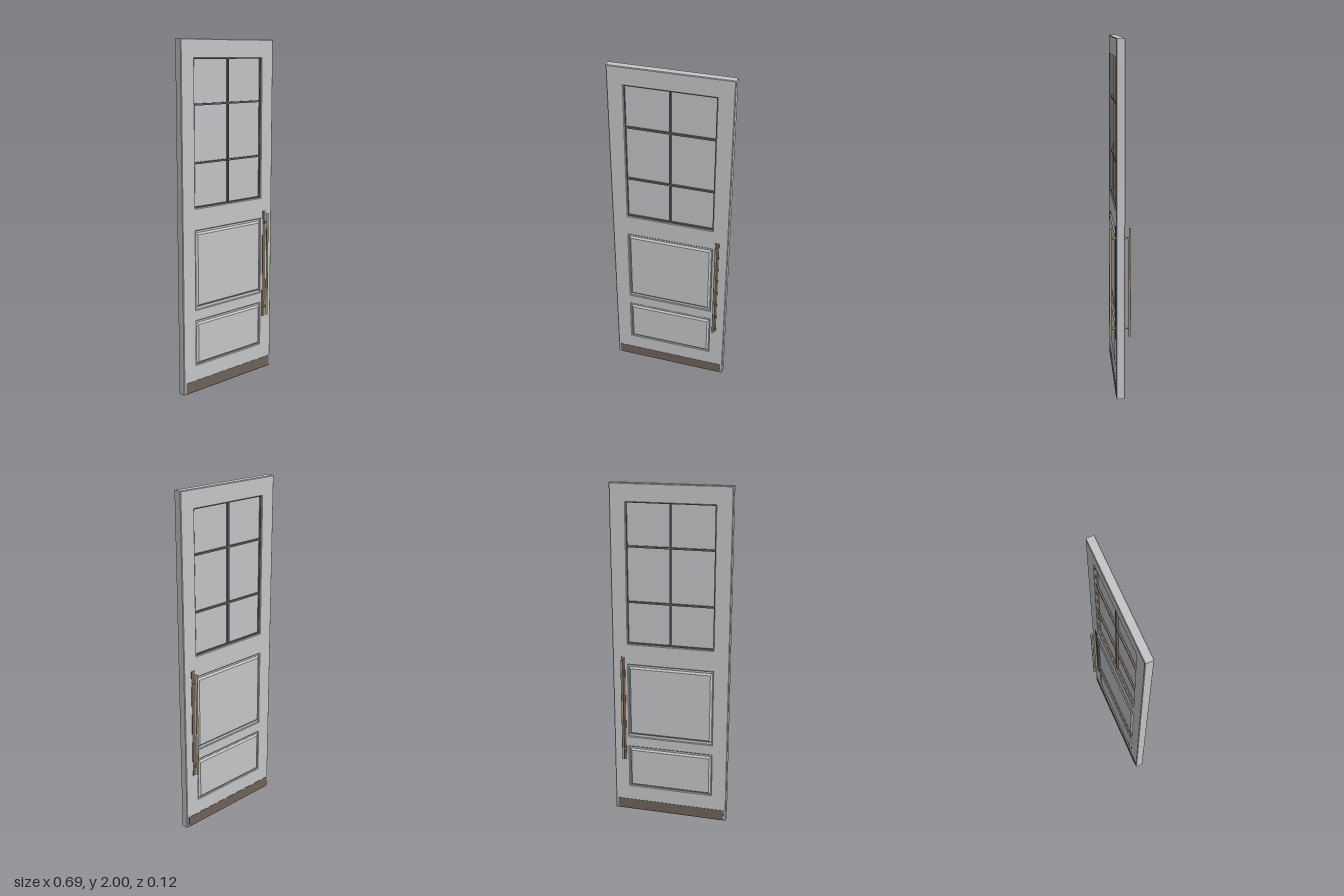
import * as THREE from 'three';

const mat = (name, color) => {
  const m = new THREE.MeshStandardMaterial({ color });
  m.name = name;
  return m;
};

export function createModel() {
  const paint = mat('greyPaint', 0xc3c5c7);
  const glass = mat('paleGlass', 0xc1c3c5);
  const bronze = mat('darkBronze', 0x6f6258);
  const brass = mat('agedBrass', 0xa8946f);

  const door = new THREE.Group();
  door.name = 'door';

  const add = (parent, name, geometry, material, x = 0, y = 0, z = 0) => {
    const mesh = new THREE.Mesh(geometry, material);
    mesh.name = name;
    mesh.position.set(x, y, z);
    parent.add(mesh);
    return mesh;
  };
  const box = (parent, name, material, w, h, d, x, y, z) =>
    add(parent, name, new THREE.BoxGeometry(w, h, d), material, x, y, z);

  // Rectangle outline from half width and height range
  const rect = (Type, hw, y0, y1) => new Type([
    new THREE.Vector2(-hw, y0), new THREE.Vector2(hw, y0),
    new THREE.Vector2(hw, y1), new THREE.Vector2(-hw, y1)]);

  // Slab centred on z = 0 with chamfered edges on both faces
  const slab = (shape, halfDepth, bevelThickness, bevelSize) => {
    const depth = 2 * (halfDepth - bevelThickness);
    const g = new THREE.ExtrudeGeometry(shape, {
      depth, bevelEnabled: true, bevelSegments: 1,
      bevelThickness, bevelSize, bevelOffset: -bevelSize });
    return g.translate(0, 0, -depth / 2);
  };

  // Frame with openings for the window and the two panels
  const win = { y0: 1.08, y1: 1.896, hw: 0.254 };
  const panels = [[0.164, 0.427], [0.494, 0.952]];
  const outline = rect(THREE.Shape, 0.347, 0, 2);
  outline.holes.push(rect(THREE.Path, win.hw, win.y0, win.y1));
  for (const [y0, y1] of panels) outline.holes.push(rect(THREE.Path, 0.254, y0, y1));
  add(door, 'doorFrame', slab(outline, 0.0235, 0.003, 0.004), paint);

  // Raised panels on a recessed core
  for (const [y0, y1] of panels) {
    box(door, 'panelCore', paint, 0.52, y1 - y0 + 0.012, 0.034, 0, (y0 + y1) / 2, 0);
    add(door, 'raisedPanel',
      slab(rect(THREE.Shape, 0.25, y0 + (y0 < 0.3 ? 0.004 : 0.016), y1 - 0.012), 0.027, 0.009, 0.011), paint);
  }

  // Window glass, edge lining and glazing bars
  const midY = (win.y0 + win.y1) / 2, winH = win.y1 - win.y0;
  box(door, 'windowGlass', glass, 0.52, winH + 0.012, 0.012, 0, midY, 0);
  for (const s of [-1, 1]) box(door, 'sideLining', bronze, 0.004, winH, 0.034, s * 0.253, midY, 0);
  box(door, 'topLining', bronze, 0.508, 0.004, 0.034, 0, win.y1 - 0.001, 0);
  box(door, 'bottomLining', bronze, 0.508, 0.008, 0.034, 0, win.y0 + 0.003, 0);
  box(door, 'verticalBar', bronze, 0.01, winH, 0.036, 0, midY, 0);
  for (const y of [1.33, 1.65]) box(door, 'crossBar', bronze, 0.508, 0.01, 0.034, 0, y, 0);

  // Kick plate and pull handle on both faces
  for (const s of [1, -1]) {
    box(door, 'kickPlate', bronze, 0.666, 0.065, 0.003, 0, 0.0365, s * 0.0235);

    const handle = new THREE.Group();
    handle.name = 'pullHandle';
    handle.position.x = 0.284;
    door.add(handle);
    box(handle, 'backPlate', bronze, 0.024, 0.66, 0.004, 0, 0.668, s * 0.0245);
    add(handle, 'grip', new THREE.CylinderGeometry(0.0065, 0.0065, 0.632, 20), brass, 0, 0.67, s * 0.054);
    for (const y of [0.405, 0.93]) {
      const post = new THREE.CylinderGeometry(0.0055, 0.0055, 0.03, 16).rotateX(Math.PI / 2);
      add(handle, 'post', post, brass, 0, y, s * 0.039);
      const collar = new THREE.CylinderGeometry(0.0075, 0.011, 0.007, 20).rotateX(s * Math.PI / 2);
      add(handle, 'collar', collar, brass, 0, y, s * 0.029);
    }
  }
  return door;
}
